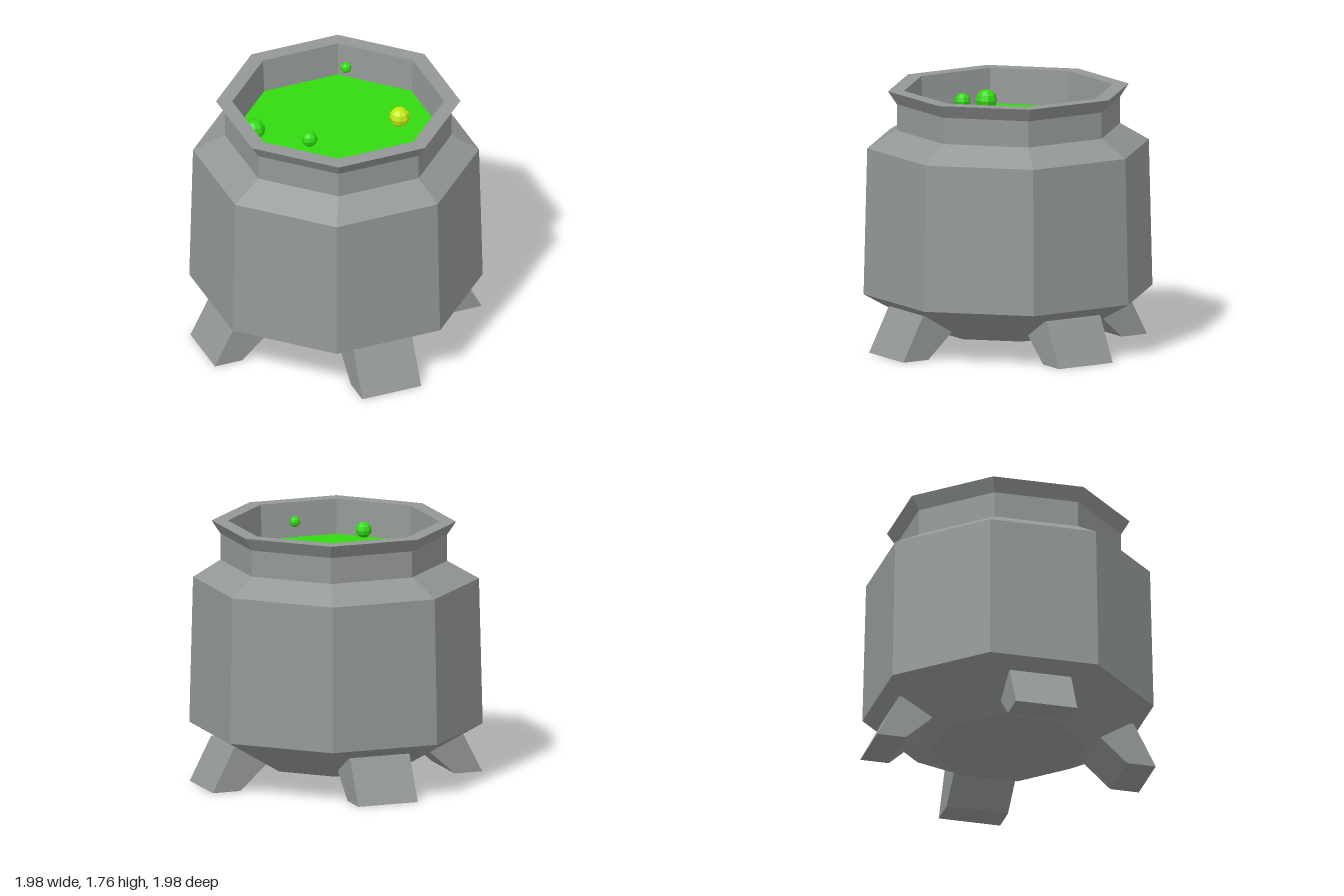
import * as THREE from 'three';

const material = (color) => new THREE.MeshStandardMaterial({ color, flatShading: true });

function addMesh(parent, name, geometry, mat) {
  const mesh = new THREE.Mesh(geometry, mat);
  mesh.name = name;
  parent.add(mesh);
  return mesh;
}

export function createModel() {
  const model = new THREE.Group();
  model.name = 'cauldron';
  const iron = material(0x939896);
  const green = material(0x33d911);
  const yellow = material(0xc4ea14);
  const liquidY = 1.52;
  const neckShift = 0.015;

  // Eight-sided pot: base, belly, shoulder, neck, flared rim and inner wall
  const profile = [
    [0, 0.11], [0.53, 0.11], [0.99, 0.37], [0.965, 1.37], [0.765, 1.49],
    [0.765, 1.67], [0.825, 1.76], [0.715, 1.76], [0.7, 1.45],
  ].map(([r, y]) => new THREE.Vector2(r, y));
  const potGeometry = new THREE.LatheGeometry(profile, 8);
  // The neck sits slightly off the axis of the belly
  const p = potGeometry.attributes.position;
  for (let i = 0; i < p.count; i++) {
    if (p.getY(i) > 1.4) p.setX(i, p.getX(i) + neckShift);
  }
  addMesh(model, 'pot', potGeometry, iron);

  // Liquid surface, same eight sides as the pot
  const liquidGeometry = new THREE.CircleGeometry(0.705, 8).rotateX(-Math.PI / 2);
  addMesh(model, 'liquid', liquidGeometry, green).position.set(neckShift, liquidY, 0);

  // Splayed feet, one under every other side
  const footShape = new THREE.Shape([
    [0.775, 0.01], [0.975, 0.01], [0.82, 0.31], [0.58, 0.3], [0.57, 0.195],
  ].map(([r, y]) => new THREE.Vector2(r, y)));
  const footGeometry = new THREE.ExtrudeGeometry(footShape, { depth: 0.43, bevelEnabled: false });
  footGeometry.translate(0, -0.01, -0.215);
  for (let i = 0; i < 4; i++) {
    const foot = addMesh(model, 'foot', footGeometry, iron);
    foot.rotation.y = -Math.PI * 3 / 8 + i * Math.PI / 2;
  }

  // Bubbles over the liquid: x, y, z, radius, material
  const bubbles = [
    [0.43, 1.57, -0.1, 0.07, yellow],
    [-0.55, 1.57, 0.05, 0.073, green],
    [-0.18, 1.64, 0.28, 0.055, green],
    [0.29, 1.64, 0.53, 0.037, green],
    [0.07, 1.63, -0.62, 0.038, green],
  ];
  for (const [x, y, z, r, mat] of bubbles) {
    addMesh(model, 'bubble', new THREE.SphereGeometry(r, 8, 6), mat).position.set(x, y, z);
  }

  return model;
}
